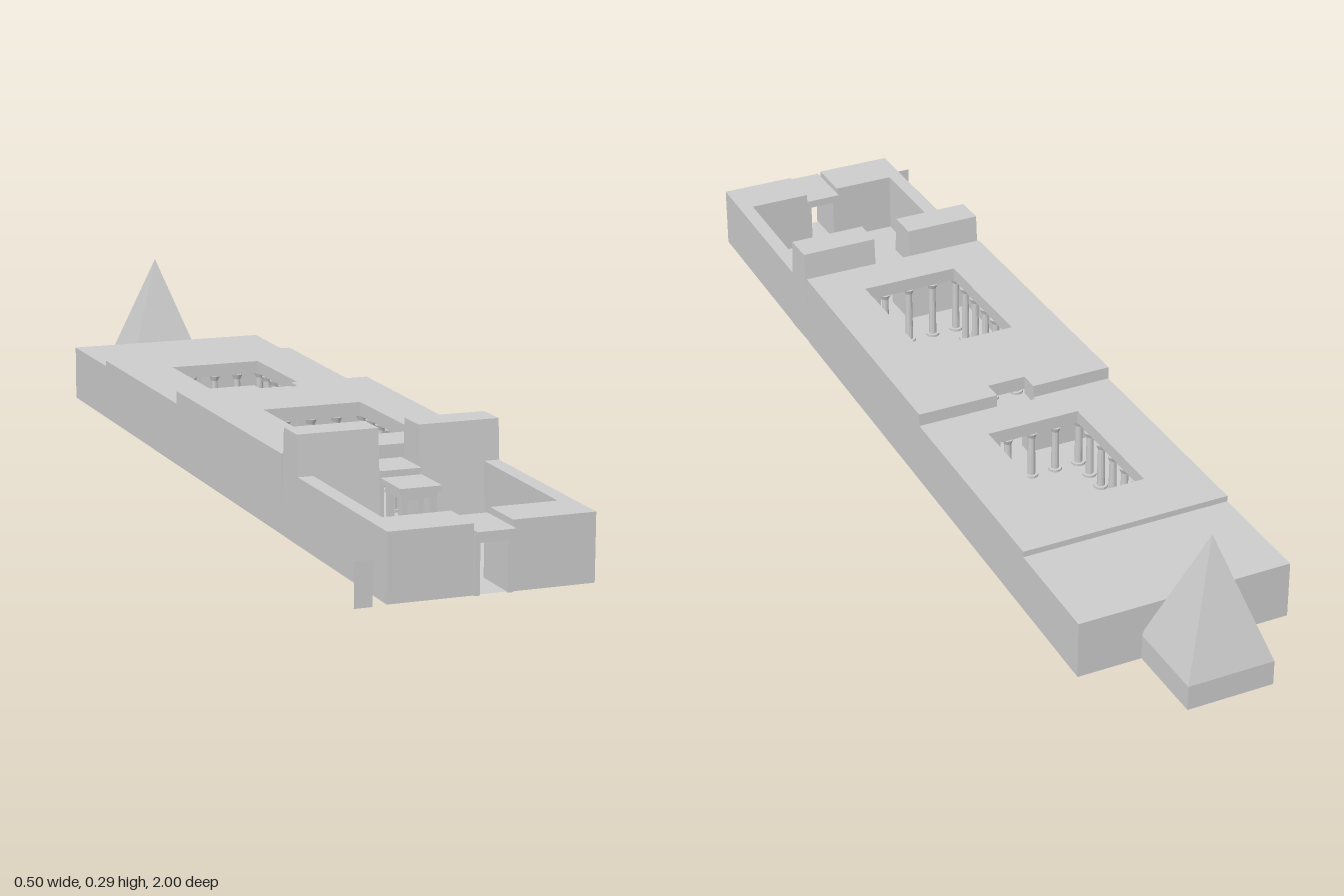
import * as THREE from 'three';

const mat = new THREE.MeshStandardMaterial({ color: 0xcccccc, flatShading: true, side: THREE.DoubleSide });
const LEFT = -0.188, WALL = 0.03;
// the long +x side runs slightly askew
const right = (z) => 0.203 + (0.985 - z) * 0.0232;

export function createModel() {
  const root = new THREE.Group();
  const group = (name) => {
    const g = new THREE.Group();
    g.name = name;
    root.add(g);
    return g;
  };
  const add = (parent, name, geo) => {
    const m = new THREE.Mesh(geo, mat);
    m.name = name;
    parent.add(m);
    return m;
  };

  // remove faces lying on the ground, leaving the masonry open below
  const openBottom = (geo) => {
    const src = geo.index ? geo.toNonIndexed() : geo;
    const p = src.attributes.position.array, out = [];
    for (let i = 0; i < p.length; i += 9) {
      if (Math.max(p[i + 1], p[i + 4], p[i + 7]) > 1e-4) out.push(...p.slice(i, i + 9));
    }
    const g = new THREE.BufferGeometry();
    g.setAttribute('position', new THREE.Float32BufferAttribute(out, 3));
    g.computeVertexNormals();
    return g;
  };

  // plan outline [x, z] raised from y0 to y1
  const toShape = (pts) => new THREE.Shape(pts.map(([x, z]) => new THREE.Vector2(x, -z)));
  const slab = (parent, name, pts, y0, y1, hole) => {
    const s = toShape(pts);
    if (hole) s.holes.push(new THREE.Path(toShape(hole).getPoints()));
    const geo = new THREE.ExtrudeGeometry(s, { depth: y1 - y0, bevelEnabled: false });
    geo.rotateX(-Math.PI / 2).translate(0, y0, 0);
    return add(parent, name, openBottom(geo));
  };
  const rect = (x0, x1, z0, z1) => [[x0, z0], [x1, z0], [x1, z1], [x0, z1]];
  const block = (parent, name, x0, x1, z0, z1, y0, y1) => slab(parent, name, rect(x0, x1, z0, z1), y0, y1);
  const span = (z0, z1) => [[LEFT, z0], [right(z0), z0], [right(z1), z1], [LEFT, z1]];

  const sideWalls = (parent, z0, z1, h) => {
    block(parent, 'leftSideWall', LEFT, LEFT + WALL, z0, z1, 0, h);
    slab(parent, 'rightSideWall',
      [[right(z0) - WALL, z0], [right(z0), z0], [right(z1), z1], [right(z1) - WALL, z1]], 0, h);
  };
  // cross wall with a doorway between d0 and d1
  const doorWall = (parent, name, z0, z1, h, d0, d1) => {
    block(parent, name, LEFT + WALL, d0, z0, z1, 0, h);
    slab(parent, name, [[d0 + d1 - d0, z0], [right(z0) - WALL, z0], [right(z1) - WALL, z1], [d1, z1]], 0, h);
  };
  // door jambs, lintel and stepped cornice
  const gate = (parent, x0, x1, z0, z1, h) => {
    block(parent, 'jamb', x0, x0 + 0.01, z0 + 0.01, z1 - 0.01, 0, h - 0.022);
    block(parent, 'jamb', x1 - 0.01, x1, z0 + 0.01, z1 - 0.01, 0, h - 0.022);
    block(parent, 'lintel', x0, x1, z0 + 0.01, z1 - 0.01, h - 0.022, h - 0.008);
    block(parent, 'cornice', x0, x1, z0, z1, h - 0.008, h);
  };
  const column = (parent, x, z, h) => {
    add(parent, 'columnBase', new THREE.CylinderGeometry(0.014, 0.014, 0.006, 12)).position.set(x, 0.003, z);
    add(parent, 'columnShaft', new THREE.CylinderGeometry(0.007, 0.008, h - 0.016, 12)).position.set(x, h / 2 - 0.002, z);
    add(parent, 'columnCapital', new THREE.CylinderGeometry(0.012, 0.008, 0.01, 12)).position.set(x, h - 0.005, z);
  };
  // columns around an open court
  const colonnade = (parent, x0, x1, z0, z1, h) => {
    for (let i = 0; i < 5; i++) {
      const x = x0 + ((x1 - x0) * i) / 4;
      column(parent, x, z0, h);
      column(parent, x, z1, h);
    }
    for (let i = 1; i < 6; i++) {
      const z = z0 + ((z1 - z0) * i) / 6;
      column(parent, x0, z, h);
      column(parent, x1, z, h);
    }
  };
  const floor = (name, pts) => {
    const geo = new THREE.ShapeGeometry(toShape(pts));
    geo.rotateX(-Math.PI / 2).translate(0, 0.001, 0);
    add(root, name, geo);
  };

  // open forecourt with front gate
  const fore = group('forecourt');
  sideWalls(fore, 0.565, 0.985, 0.127);
  doorWall(fore, 'frontWall', 0.89, 0.985, 0.127, -0.028, 0.045);
  gate(fore, -0.028, 0.045, 0.88, 1.0, 0.115);

  // kiosk in front of the pylon doorway
  const kiosk = group('kiosk');
  for (const x of [-0.018, 0.04]) for (const z of [0.595, 0.655]) {
    block(kiosk, 'kioskPost', x - 0.006, x + 0.006, z - 0.006, z + 0.006, 0, 0.095);
  }
  block(kiosk, 'kioskBeam', -0.024, 0.046, 0.585, 0.662, 0.092, 0.104);
  block(kiosk, 'kioskRoof', -0.03, 0.052, 0.577, 0.67, 0.104, 0.115);

  // pylon: twin towers leaning in towards the top
  const pylon = group('pylon');
  for (const [x0, x1] of [[LEFT, -0.028], [0.052, 0.2135]]) {
    const geo = new THREE.BoxGeometry(x1 - x0, 0.205, 0.095);
    geo.translate((x0 + x1) / 2, 0.1025, 0.5275);
    const p = geo.attributes.position;
    for (let i = 0; i < p.count; i++) {
      if (p.getY(i) > 0.1) p.setZ(i, p.getZ(i) > 0.5275 ? 0.56 : 0.495);
    }
    add(pylon, 'pylonTower', openBottom(geo));
  }
  gate(pylon, -0.028, 0.052, 0.48, 0.575, 0.127);

  // first hall, with the roof notched over its rear door
  const hall1 = group('firstHall');
  sideWalls(hall1, -0.12, 0.482, 0.125);
  doorWall(hall1, 'rearWall', -0.12, -0.08, 0.125, -0.02, 0.06);
  slab(hall1, 'roof', [
    [LEFT, -0.12], [-0.02, -0.12], [-0.02, -0.08], [0.06, -0.08], [0.06, -0.12],
    [right(-0.12), -0.12], [right(0.482), 0.482], [LEFT, 0.482],
  ], 0.125, 0.153, rect(-0.085, 0.12, 0.11, 0.39));
  colonnade(hall1, -0.092, 0.127, 0.103, 0.397, 0.125);
  gate(hall1, -0.02, 0.06, -0.126, -0.08, 0.115);

  // second hall
  const hall2 = group('secondHall');
  sideWalls(hall2, -0.6, -0.12, 0.1);
  slab(hall2, 'roof', [
    [LEFT, -0.6], [right(-0.6), -0.6], [right(-0.12), -0.12], [0.06, -0.12],
    [0.06, -0.127], [-0.02, -0.127], [-0.02, -0.12], [LEFT, -0.12],
  ], 0.1, 0.127, rect(-0.075, 0.12, -0.48, -0.205));
  colonnade(hall2, -0.082, 0.127, -0.487, -0.198, 0.1);

  // sanctuary with three rooms
  const sanct = group('sanctuary');
  sideWalls(sanct, -0.83, -0.6, 0.1);
  doorWall(sanct, 'dividingWall', -0.62, -0.6, 0.1, -0.01, 0.06);
  slab(sanct, 'backWall', [
    [LEFT + WALL, -0.83], [right(-0.83) - WALL, -0.83], [right(-0.8) - WALL, -0.8], [LEFT + WALL, -0.8],
  ], 0, 0.1);
  for (const x of [-0.06, 0.1]) block(sanct, 'roomPartition', x, x + 0.015, -0.8, -0.62, 0, 0.1);
  slab(sanct, 'roof', span(-0.83, -0.6), 0.1, 0.115);

  // floors reach through the doorways
  floor('frontFloor', [
    [LEFT + WALL, -0.08], [-0.02, -0.08], [-0.02, -0.1], [0.06, -0.1], [0.06, -0.08],
    [right(-0.08) - WALL, -0.08], [right(0.89) - WALL, 0.89], [0.045, 0.89],
    [0.045, 0.985], [-0.028, 0.985], [-0.028, 0.89], [LEFT + WALL, 0.89],
  ]);
  floor('rearFloor', [
    [LEFT + WALL, -0.8], [right(-0.8) - WALL, -0.8], [right(-0.12) - WALL, -0.12], [0.06, -0.12],
    [0.06, -0.1], [-0.02, -0.1], [-0.02, -0.12], [LEFT + WALL, -0.12],
  ]);

  // pyramid on its plinth behind the building
  const pyr = group('pyramid');
  block(pyr, 'pyramidPlinth', -0.058, 0.116, -1.0, -0.826, 0, 0.05);
  const cone = new THREE.ConeGeometry(0.087 * Math.SQRT2, 0.242, 4, 1, true);
  cone.rotateY(Math.PI / 4);
  add(pyr, 'pyramidCap', cone).position.set(0.029, 0.171, -0.913);

  // thin upright slab standing beside the entrance
  add(root, 'standingSlab', new THREE.PlaneGeometry(0.034, 0.082)).position.set(-0.233, 0.041, 0.99);

  return root;
}
